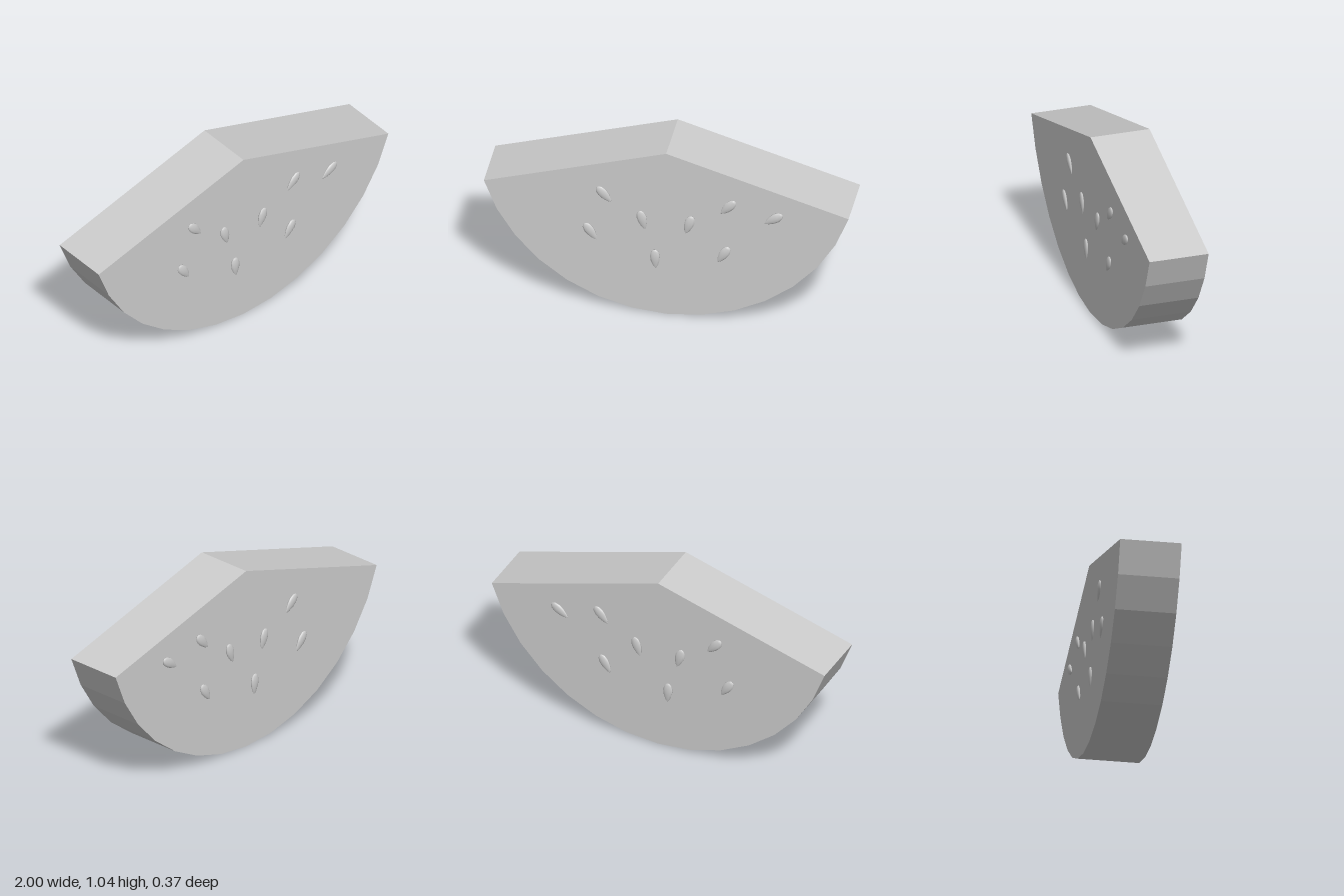
import * as THREE from 'three';

const RADIUS = 1.044, HALF_ANGLE = Math.asin(1 / RADIUS), HALF_DEPTH = 0.168;

// Each seed: centre x, centre y, and the direction its pointed end faces.
const SEEDS = [
  [-0.34, 0.74, 0.8, -0.9], [-0.415, 0.49, 0.65, -0.95],
  [-0.13, 0.6, 0.25, -1], [-0.06, 0.355, 0.05, -1],
  [0.125, 0.6, -0.3, -1], [0.34, 0.74, -0.8, -0.9],
  [0.59, 0.695, -1, -0.7], [0.315, 0.43, -0.6, -1],
];

export function createModel() {
  const model = new THREE.Group();
  model.name = 'melonSlice';
  const grey = new THREE.MeshStandardMaterial({ color: 0xcccccc });
  grey.name = 'light grey';

  // Wedge: a circular sector with its tip on top and a faceted rind below
  const shape = new THREE.Shape();
  shape.moveTo(0, RADIUS);
  const steps = 14;
  for (let i = 0; i <= steps; i++) {
    const a = HALF_ANGLE * (2 * i / steps - 1);
    shape.lineTo(RADIUS * Math.sin(a), RADIUS * (1 - Math.cos(a)));
  }
  shape.closePath();
  const wedgeGeometry = new THREE.ExtrudeGeometry(shape, { depth: 2 * HALF_DEPTH, bevelEnabled: false });
  wedgeGeometry.translate(0, 0, -HALF_DEPTH);
  const wedge = new THREE.Mesh(wedgeGeometry, grey);
  wedge.name = 'wedge';
  model.add(wedge);

  // Seeds: flattened teardrops, pointed at the lower end, on both cut faces
  const profile = [[0, -0.062], [0.014, -0.042], [0.025, -0.01], [0.028, 0.018], [0.021, 0.045], [0.009, 0.056], [0, 0.058]]
    .map(([r, y]) => new THREE.Vector2(r, y));
  const seedGeometry = new THREE.LatheGeometry(profile, 10);
  for (const side of [1, -1]) {
    const group = new THREE.Group();
    group.name = side > 0 ? 'frontSeeds' : 'backSeeds';
    for (const [x, y, dx, dy] of SEEDS) {
      const seed = new THREE.Mesh(seedGeometry, grey);
      seed.name = 'seed';
      seed.position.set(x, y, side * (HALF_DEPTH + 0.005));
      seed.rotation.z = Math.atan2(dx, -dy);
      seed.scale.z = 0.38;
      group.add(seed);
    }
    model.add(group);
  }
  return model;
}
